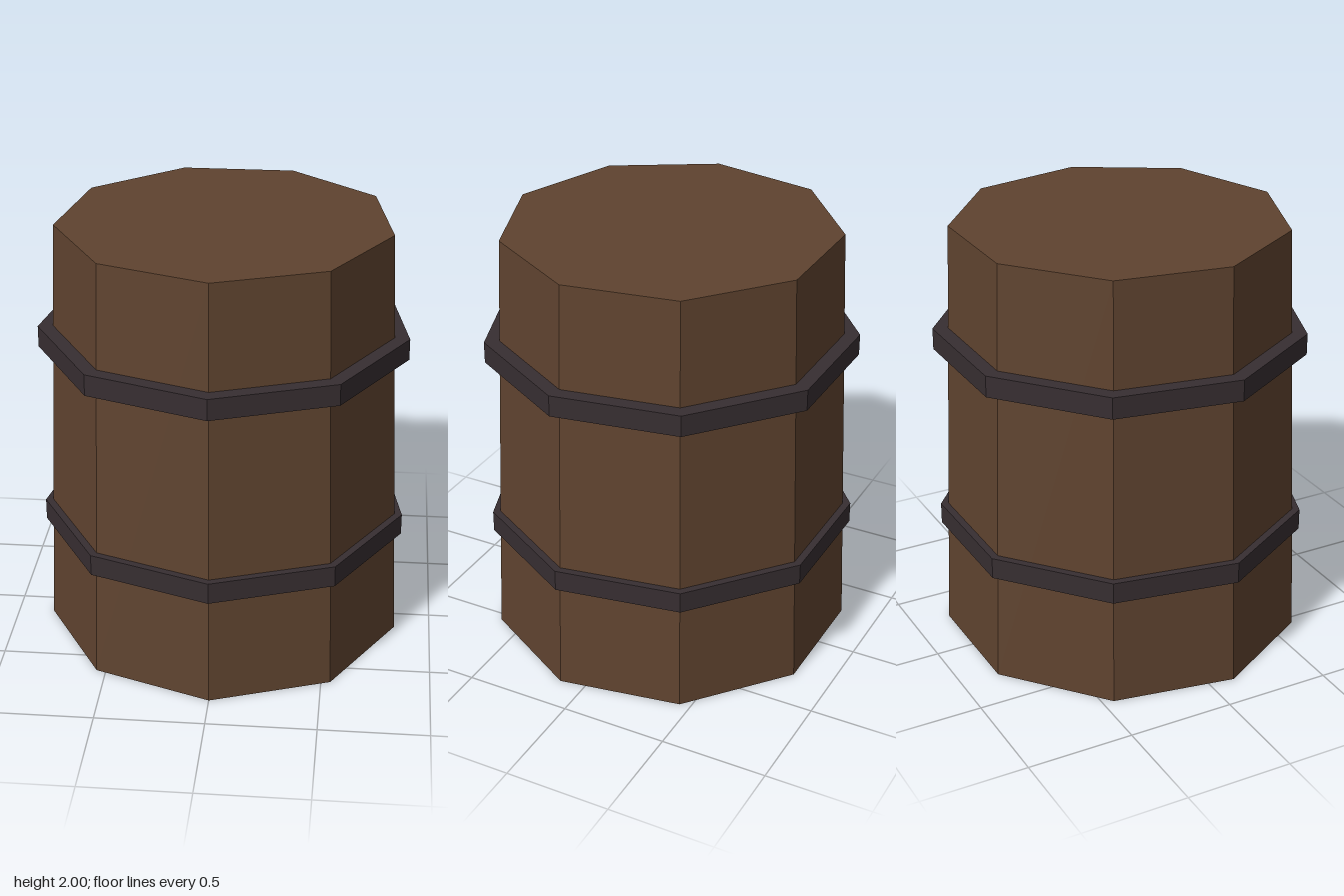
import * as THREE from 'three';

const SIDES = 9;

export function createModel() {
  const model = new THREE.Group();
  model.name = 'barrel';

  const wood = new THREE.MeshStandardMaterial({ color: 0x5f432f, flatShading: true });
  wood.name = 'brown wood';
  const iron = new THREE.MeshStandardMaterial({ color: 0x372e31, flatShading: true });
  iron.name = 'dark iron';

  // The nine-sided body has a corner at the front, so its axis sits slightly back
  const axisZ = -0.026;

  // Tapered body with closed ends
  const body = new THREE.Mesh(new THREE.CylinderGeometry(0.768, 0.845, 2, SIDES), wood);
  body.name = 'body';
  body.position.set(0, 1, axisZ);
  model.add(body);

  // Two straight-walled hoops, their inner walls sunk into the body
  const outer = 0.857, inner = 0.76, half = 0.05;
  const profile = [
    [inner, -half], [outer, -half], [outer, half], [inner, half], [inner, -half],
  ].map(([r, y]) => new THREE.Vector2(r, y));
  const hoopGeometry = new THREE.LatheGeometry(profile, SIDES);

  for (const [name, y] of [['lowerHoop', 0.57], ['upperHoop', 1.465]]) {
    const hoop = new THREE.Mesh(hoopGeometry, iron);
    hoop.name = name;
    hoop.position.set(0, y, axisZ);
    model.add(hoop);
  }

  return model;
}
